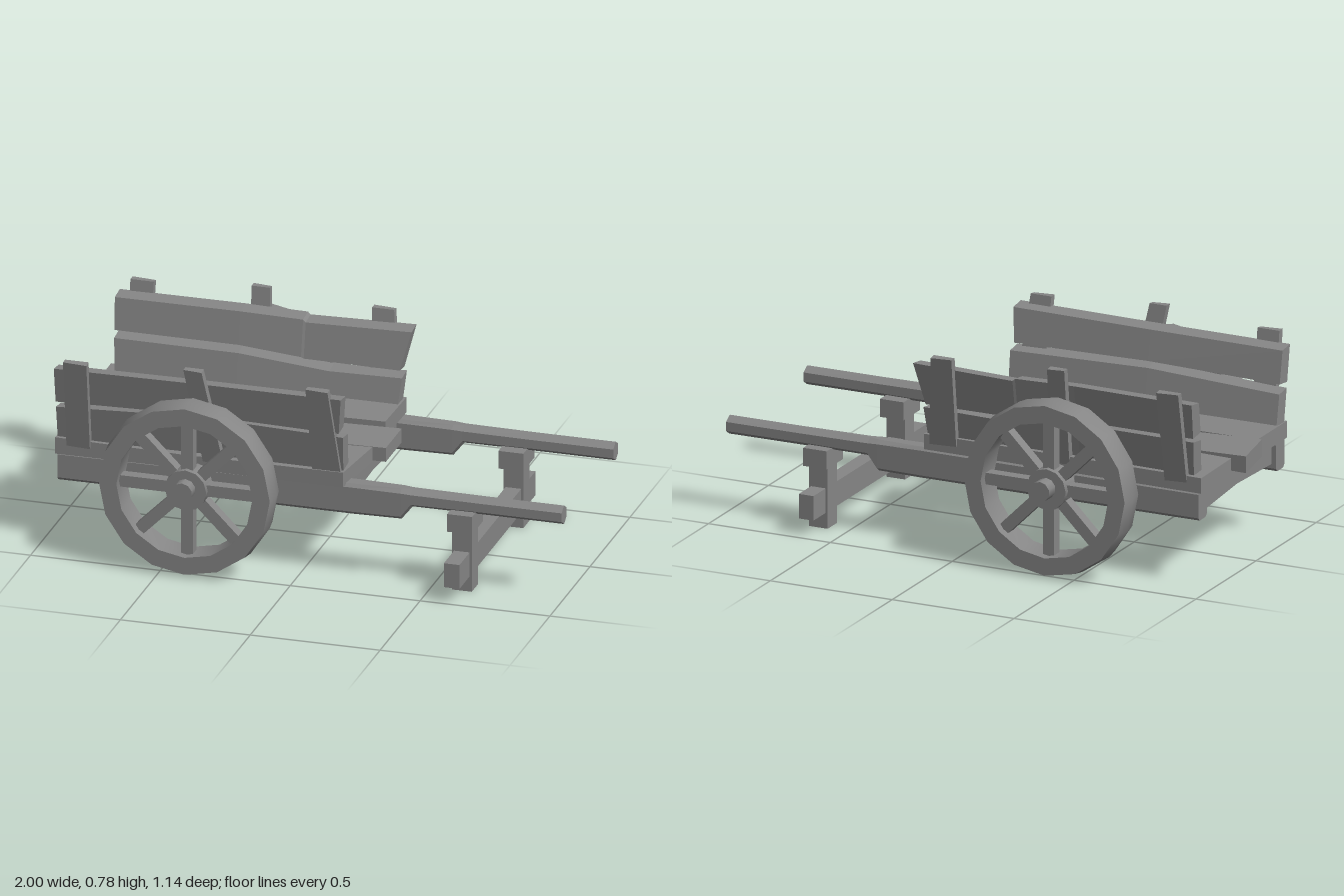
import * as THREE from 'three';
import { toCreasedNormals } from 'three/addons/utils/BufferGeometryUtils.js';

const mat = new THREE.MeshStandardMaterial({ color: 0x868686, flatShading: true });
const smoothMat = new THREE.MeshStandardMaterial({ color: 0x868686 });

// Skin a row of cross-sections (arrays of [x,y,z]) with flat caps, facing outwards
function loft(rings) {
  const tris = [], n = rings[0].length, last = rings[rings.length - 1];
  for (let i = 0; i < rings.length - 1; i++) {
    for (let j = 0; j < n; j++) {
      const k = (j + 1) % n, a = rings[i], b = rings[i + 1];
      tris.push([a[j], a[k], b[k]], [a[j], b[k], b[j]]);
    }
  }
  for (let j = 1; j < n - 1; j++) {
    tris.push([rings[0][0], rings[0][j + 1], rings[0][j]], [last[0], last[j], last[j + 1]]);
  }
  let volume = 0;
  for (const [a, b, c] of tris) {
    volume += a[0] * (b[1] * c[2] - b[2] * c[1]) + a[1] * (b[2] * c[0] - b[0] * c[2]) + a[2] * (b[0] * c[1] - b[1] * c[0]);
  }
  if (volume < 0) tris.forEach(t => t.reverse());
  const geo = new THREE.BufferGeometry();
  geo.setAttribute('position', new THREE.Float32BufferAttribute(tris.flat(2), 3));
  geo.computeVertexNormals();
  return geo;
}

function add(parent, name, geo, x = 0, y = 0, z = 0, material = mat) {
  const mesh = new THREE.Mesh(geo, material);
  mesh.name = name;
  mesh.position.set(x, y, z);
  parent.add(mesh);
  return mesh;
}

const box = (w, h, d) => new THREE.BoxGeometry(w, h, d);

// Bed plank: sections [x at -z edge, x at +z edge, z min, z max, y bottom, y top]
const bedPlank = sections => loft(sections.map(([xa, xb, z0, z1, y0, y1]) =>
  [[xa, y0, z0], [xa, y1, z0], [xb, y1, z1], [xb, y0, z1]]));

// Outer face of the leaning sides at a given height
const lean = y => 0.355 + (y - 0.42) * 0.17;

// Side board: sections [x bottom, x top, y bottom, y top, inward shift]
const sideBoard = (s, sections, t = 0.062) => loft(sections.map(([xb, xt, y0, y1, d]) => [
  [xb, y0, s * (lean(y0) - d)], [xt, y1, s * (lean(y1) - d)],
  [xt, y1 - 0.008, s * (lean(y1) - d - t)], [xb, y0 + 0.008, s * (lean(y0) - d - t)]]));

// Upright outside the boards, leaning with them and let in by an inset
const post = (s, xBottom, xTop, wBottom, wTop, top, inset = 0.004) => loft(
  [[0.4, xBottom, wBottom], [top, xTop, wTop]].map(([y, x, w]) => [
    [x - w / 2, y, s * (lean(y) - inset)], [x + w / 2, y, s * (lean(y) - inset)],
    [x + w / 2, y - 0.004, s * (lean(y) - inset + 0.028)], [x - w / 2, y, s * (lean(y) - inset + 0.028)]]));

// Squared rail narrowing to a six-sided handle:
// sections [x, y bottom, y top, half width, chamfer across, chamfer up]
function rail(s) {
  const sections = [
    [-0.94, 0.25, 0.365, 0.036, 0.012, 0.012], [0.2, 0.25, 0.37, 0.036, 0.012, 0.012],
    [0.38, 0.25, 0.37, 0.035, 0.018, 0.014], [0.42, 0.3, 0.37, 0.034, 0.026, 0.016],
    [0.7, 0.299, 0.369, 0.031, 0.027, 0.018], [1, 0.298, 0.369, 0.031, 0.028, 0.018]];
  return loft(sections.map(([x, y0, y1, w, cz, cy]) => [
    [w, y0 + cy], [w, y1 - cy], [w - cz, y1], [cz - w, y1],
    [-w, y1 - cy], [-w, y0 + cy], [cz - w, y0], [w - cz, y0]
  ].map(([z, y]) => [x, y, s * 0.323 + z])));
}

function wheel() {
  const g = new THREE.Group();
  g.name = 'wheel';
  // Rim with a slightly crowned tread
  const profile = [[0.262, -0.057], [0.329, -0.057], [0.337, 0], [0.329, 0.057], [0.262, 0.057], [0.262, -0.057]];
  const rim = new THREE.LatheGeometry(profile.map(p => new THREE.Vector2(...p)), 16);
  rim.rotateX(Math.PI / 2);
  add(g, 'rim', toCreasedNormals(rim, 0.6), 0, 0, 0, smoothMat);
  const hub = new THREE.CylinderGeometry(0.08, 0.08, 0.085, 12).rotateX(Math.PI / 2);
  add(g, 'hub', toCreasedNormals(hub, 0.6), 0, 0, 0, smoothMat);
  for (let i = 0; i < 8; i++) {
    const spoke = box(0.045, 0.21, 0.045).translate(0, 0.17, 0);
    add(g, 'spoke', spoke).rotation.z = i * Math.PI / 4;
  }
  return g;
}

export function createModel() {
  const cart = new THREE.Group();
  cart.name = 'handCart';

  // Wheels and axle
  for (const z of [0.485, -0.477]) {
    const w = wheel();
    w.position.set(-0.395, 0.341, z);
    cart.add(w);
  }
  const axle = new THREE.CylinderGeometry(0.039, 0.039, 1.145, 10).rotateX(Math.PI / 2);
  add(cart, 'axle', toCreasedNormals(axle, 0.7), -0.395, 0.348, 0, smoothMat);

  // Rails with handles, and the propping stand
  for (const s of [1, -1]) {
    add(cart, 'rail', rail(s));
    add(cart, 'standCap', box(0.096, 0.07, 0.138), 0.618, 0.275, s * 0.32);
    add(cart, 'standLeg', box(0.076, 0.25, 0.076), 0.618, 0.125, s * 0.322);
  }
  add(cart, 'standCrossbar', box(0.06, 0.095, 0.95), 0.618, 0.108, 0.013);

  // Bowed cross beams under the bed
  for (const x of [-0.885, 0.13]) {
    add(cart, 'crossBeam', loft([[-0.3, 0.265], [0, 0.288], [0.3, 0.278]].map(([z, y]) => [
      [x - 0.037, y, z], [x + 0.037, y, z], [x + 0.037, 0.37, z], [x - 0.037, 0.37, z]])));
  }

  // Three warped bed planks
  add(cart, 'bedPlank', bedPlank([
    [-0.96, -0.955, -0.375, -0.115, 0.365, 0.425], [-0.4, -0.4, -0.375, -0.1, 0.37, 0.43],
    [0.18, 0.175, -0.37, -0.12, 0.37, 0.43]]));
  add(cart, 'bedPlank', bedPlank([
    [-1, -0.965, -0.085, 0.12, 0.365, 0.43], [-0.52, -0.52, -0.066, 0.128, 0.367, 0.412],
    [-0.2, -0.2, -0.08, 0.112, 0.367, 0.418], [0.245, 0.245, -0.098, 0.1, 0.365, 0.42]]));
  add(cart, 'bedPlank', bedPlank([
    [-0.945, -0.945, 0.125, 0.37, 0.36, 0.425], [-0.45, -0.45, 0.145, 0.37, 0.362, 0.415],
    [0.195, 0.165, 0.105, 0.375, 0.362, 0.42]]));

  // Leaning side boards, two per side
  add(cart, 'lowerSideBoard', sideBoard(1, [
    [-0.94, -0.94, 0.42, 0.55, 0], [-0.4, -0.4, 0.42, 0.575, 0.006], [0.16, 0.165, 0.42, 0.56, 0]]));
  add(cart, 'upperSideBoard', sideBoard(1, [
    [-0.94, -0.94, 0.572, 0.712, 0], [-0.4, -0.4, 0.585, 0.716, 0.004], [0.15, 0.165, 0.575, 0.72, 0]]));
  add(cart, 'lowerSideBoard', sideBoard(-1, [
    [-0.92, -0.93, 0.42, 0.56, 0], [-0.45, -0.45, 0.42, 0.56, 0.006], [-0.1, -0.1, 0.42, 0.53, 0], [0.17, 0.18, 0.42, 0.535, 0]]));
  add(cart, 'upperSideBoard', sideBoard(-1, [
    [-0.93, -0.935, 0.575, 0.712, 0], [-0.45, -0.45, 0.575, 0.715, 0.004], [-0.21, -0.21, 0.555, 0.71, 0],
    [-0.2, -0.2, 0.55, 0.7, -0.002], [0.17, 0.208, 0.548, 0.71, 0]]));

  // Uprights: rear, middle and front on each side
  for (const s of [1, -1]) {
    add(cart, 'rearPost', post(s, -0.855, -0.85, 0.09, 0.09, 0.755));
    add(cart, 'middlePost', post(s, s > 0 ? -0.335 : -0.38, -0.395, 0.08, 0.07, 0.783));
    add(cart, 'frontPost', post(s, 0.1, 0.078, 0.11, 0.085, 0.755, s > 0 ? 0.014 : 0.004));
  }
  return cart;
}
